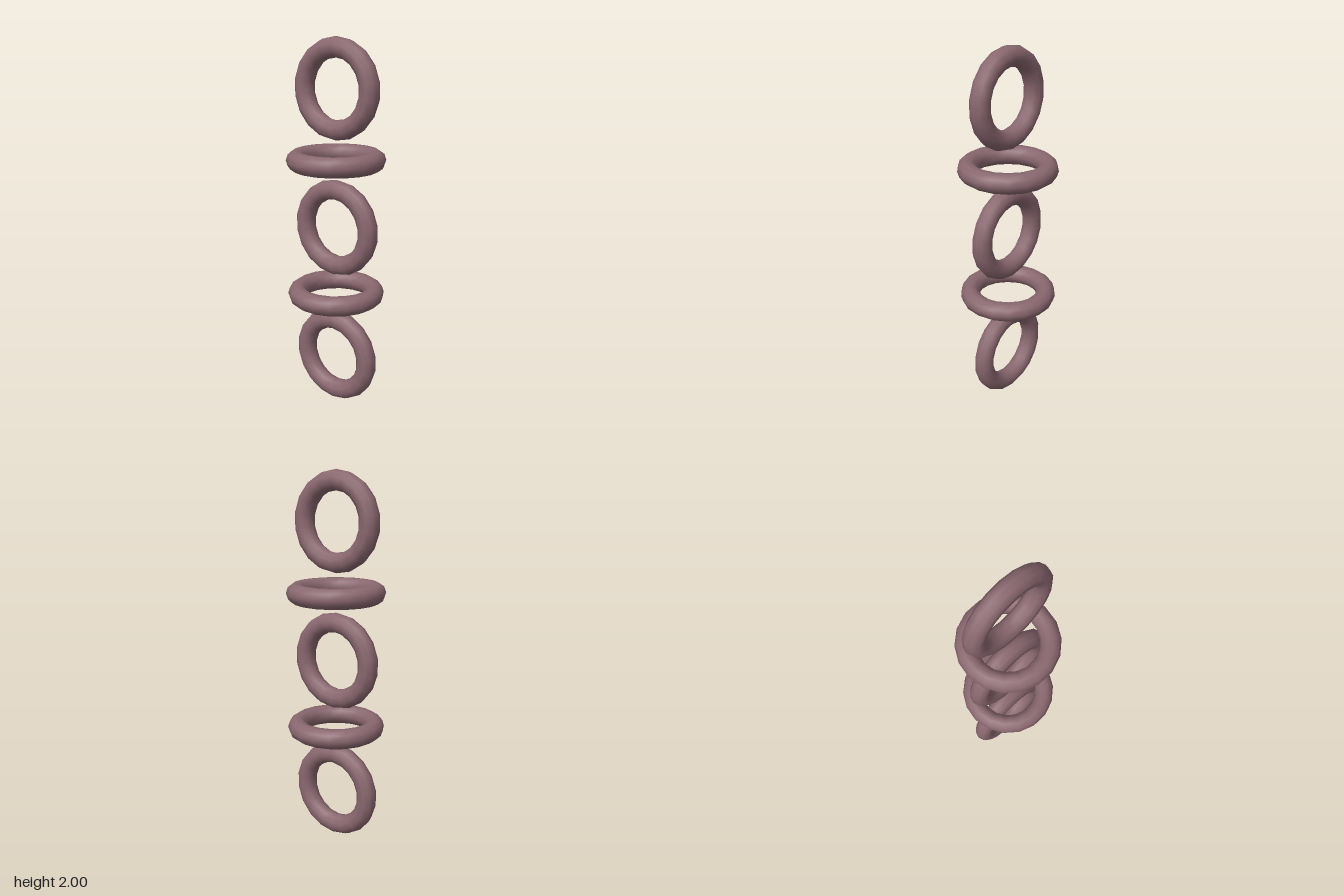
import * as THREE from 'three';

// A stack of five rings, alternately upright and lying flat
export function createModel() {
  const model = new THREE.Group();
  model.name = 'ringStack';

  const mauve = new THREE.MeshStandardMaterial({ color: 0x8a6870 });
  mauve.name = 'mauve';

  const ringGeometry = new THREE.TorusGeometry(0.21, 0.053, 10, 18);
  const heights = [0.263, 0.635, 1.003, 1.372, 1.737];

  heights.forEach((y, i) => {
    const flat = i % 2 === 1;
    const ring = new THREE.Mesh(ringGeometry, mauve);
    ring.name = (flat ? 'flatRing' : 'uprightRing') + (i + 1);
    ring.position.y = y;
    // Upright rings have a corner at the top and bottom; flat ones lie on their side
    if (flat) ring.rotation.x = Math.PI / 2;
    else ring.rotation.z = Math.PI / 18;
    model.add(ring);
  });

  return model;
}
